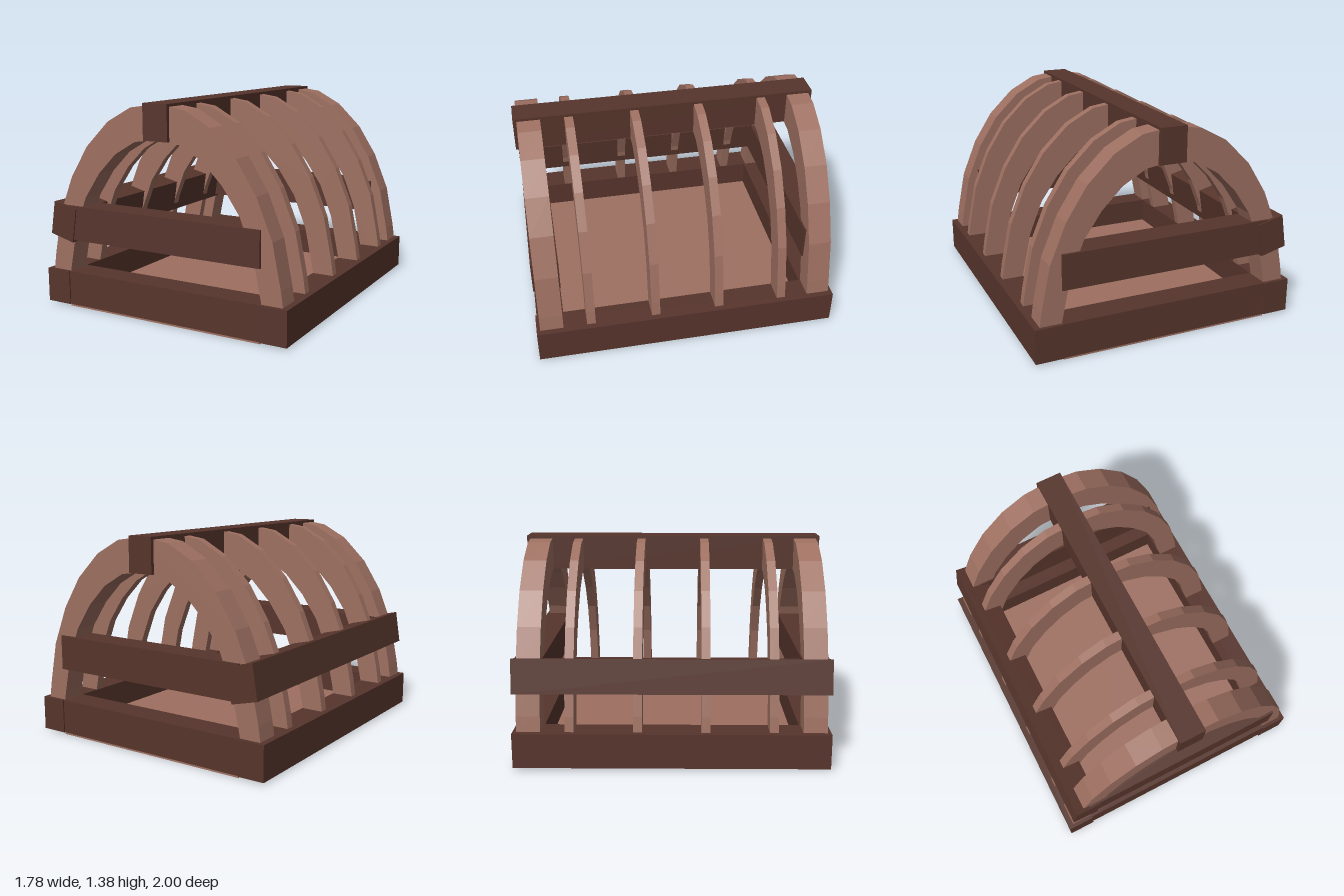
import * as THREE from 'three';

const dark = new THREE.MeshStandardMaterial({ color: 0x57352c, flatShading: true });
const light = new THREE.MeshStandardMaterial({ color: 0x9e7061, flatShading: true });

// Half profile of the arch, from the foot up to the crown
const OUTER = [[0.855, 0.1], [0.852, 0.24], [0.838, 0.335], [0.781, 0.617], [0.676, 0.872],
  [0.543, 1.08], [0.371, 1.247], [0.195, 1.342], [0, 1.37]];
const INNER = [[0.715, 0.1], [0.712, 0.24], [0.7, 0.3], [0.652, 0.53], [0.567, 0.745],
  [0.452, 0.912], [0.319, 1.045], [0.167, 1.132], [0, 1.155]];

// Right half mirrored into a full left-to-right line
const fullArc = (half) => [
  ...half.map(([x, y]) => new THREE.Vector2(x, y)),
  ...half.slice(0, -1).reverse().map(([x, y]) => new THREE.Vector2(-x, y)),
];

export function createModel() {
  const group = new THREE.Group();

  const add = (name, geometry, material) => {
    const mesh = new THREE.Mesh(geometry, material);
    mesh.name = name;
    group.add(mesh);
    return mesh;
  };
  // Box given by its limits on each axis
  const box = (name, [x0, x1], [y0, y1], [z0, z1], material) =>
    add(name, new THREE.BoxGeometry(x1 - x0, y1 - y0, z1 - z0), material)
      .position.set((x0 + x1) / 2, (y0 + y1) / 2, (z0 + z1) / 2);
  // Outline extruded along z, centred on a given z
  const slab = (name, points, depth, z, material) =>
    add(name, new THREE.ExtrudeGeometry(new THREE.Shape(points), { depth, bevelEnabled: false }), material)
      .position.z = z - depth / 2;

  // Floor and the long beams at its sides
  box('floor', [-0.71, 0.71], [0, 0.06], [-0.99, 0.99], light);
  box('leftBaseBeam', [0.71, 0.89], [0.012, 0.238], [-1, 1], dark);
  box('rightBaseBeam', [-0.89, -0.71], [0.012, 0.238], [-1, 1], dark);

  // Cross beams and raised boards at both ends
  for (const [end, z] of [['front', [0.815, 0.992]], ['back', [-0.992, -0.815]]]) {
    box(end + 'BaseBeam', [-0.71, 0.71], [0.012, 0.238], z, dark);
    box(end + 'CrossBoard', [-0.71, 0.708], [0.455, 0.683], z, dark);
  }

  // Arched ribs, thick at the ends and thin between
  const arch = [...fullArc(OUTER), ...fullArc(INNER).reverse()];
  for (const side of [-1, 1]) {
    slab('endArch', arch, 0.151, side * 0.901, light);
    slab('outerRib', arch, 0.057, side * 0.643, light);
    slab('innerRib', arch, 0.057, side * 0.214, light);
  }

  // Ridge beam and the single leaning rail on the right side
  box('ridgeBeam', [-0.088, 0.088], [1.147, 1.375], [-1, 1], dark);
  const rail = [[-0.845, 0.484], [-0.668, 0.44], [-0.635, 0.66], [-0.81, 0.703]];
  slab('sideRail', rail.map(([x, y]) => new THREE.Vector2(x, y)), 2, 0, dark);

  return group;
}
